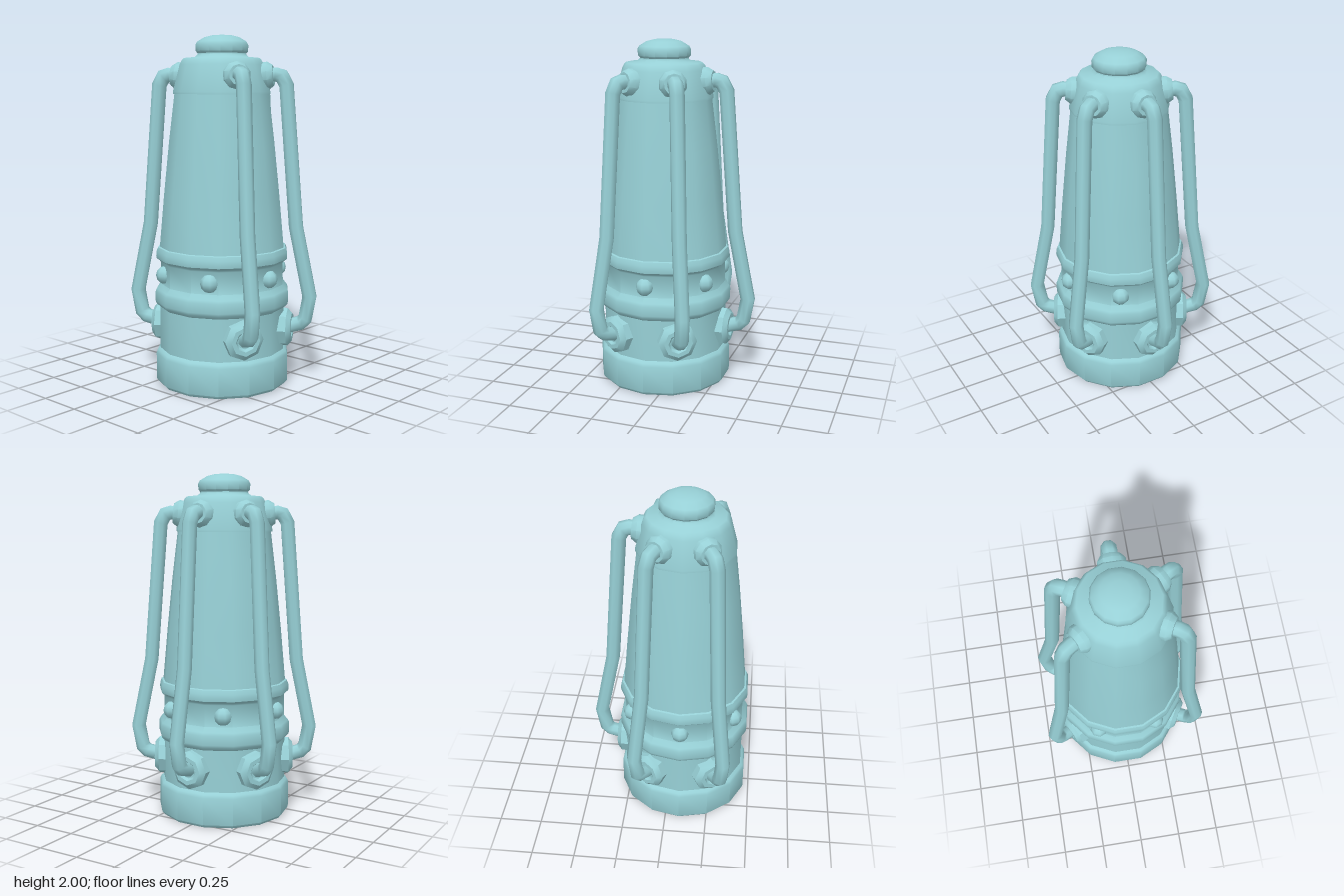
import * as THREE from 'three';
import { toCreasedNormals } from 'three/addons/utils/BufferGeometryUtils.js';

const SIDES = 14;
const AXIS_Z = 0.085; // the missing front pipe shifts the body axis forward

export function createModel() {
  const paint = new THREE.MeshStandardMaterial({ color: 0x97d0d6 });
  paint.name = 'pale teal';
  const model = new THREE.Group();
  model.name = 'lantern';
  const body = new THREE.Group();
  body.name = 'body';
  body.position.z = AXIS_Z;
  model.add(body);

  const add = (parent, name, geometry) => {
    const mesh = new THREE.Mesh(geometry, paint);
    mesh.name = name;
    parent.add(mesh);
    return mesh;
  };
  const lathe = (points, sides, crease = 0.75) => toCreasedNormals(
    new THREE.LatheGeometry(points.map(([r, y]) => new THREE.Vector2(r, y)), sides, Math.PI / 2), crease);

  // Base: recessed underside with a ring and button, then the foot
  add(body, 'base', lathe([
    [0, 0.015], [0.035, 0.02], [0.06, 0.045], [0.075, 0.045], [0.095, 0.02], [0.12, 0.02], [0.14, 0.045],
    [0.15, 0.08], [0.225, 0.08], [0.25, 0.015], [0.265, 0], [0.375, 0], [0.39, 0.018],
    [0.39, 0.175], [0.382, 0.193], [0.366, 0.205], [0.366, 0.455],
  ], SIDES));
  // Lower bulge, rivet band and upper rim
  add(body, 'collar', lathe([
    [0.366, 0.45], [0.388, 0.47], [0.392, 0.485], [0.392, 0.54], [0.385, 0.557], [0.36, 0.585],
    [0.358, 0.71], [0.366, 0.722], [0.384, 0.735], [0.386, 0.75], [0.384, 0.775], [0.375, 0.798], [0.36, 0.803],
  ], SIDES));
  add(body, 'glass', lathe([[0.365, 0.795], [0.337, 1.1], [0.306, 1.4], [0.272, 1.68]], SIDES));
  add(body, 'hood', lathe([
    [0.265, 1.672], [0.281, 1.672], [0.281, 1.685], [0.242, 1.835], [0.23, 1.86], [0.217, 1.872],
    [0.155, 1.878], [0.14, 1.892], [0.138, 1.905],
  ], SIDES));
  add(body, 'topKnob', lathe([
    [0.136, 1.895], [0.15, 1.91], [0.152, 1.945], [0.142, 1.963], [0.1, 1.988], [0.055, 1.999], [0, 2],
  ], SIDES));

  // Rivets, every sixth of a turn around the collar
  for (let i = 0; i < 6; i++) {
    const a = i * Math.PI / 3;
    const rivet = add(body, 'rivet', new THREE.SphereGeometry(0.052, 8, 6));
    rivet.position.set(Math.cos(a) * 0.345, 0.645, Math.sin(a) * 0.345);
  }

  // Pipe path as radius and height, running outward along local +x
  const pipeGeo = sweep([
    [0.26, 1.775], [0.31, 1.78], [0.342, 1.77], [0.369, 1.72], [0.43, 0.92],
    [0.512, 0.515], [0.488, 0.385], [0.46, 0.357], [0.37, 0.33],
  ], 0.042, 8);
  const upperBoss = lathe([[0.078, 0], [0.078, 0.065], [0.058, 0.095], [0.042, 0.095], [0, 0.085]], 10);
  const lowerBoss = lathe([[0.112, 0], [0.112, 0.065], [0.083, 0.09], [0.058, 0.09], [0.045, 0.075], [0, 0.075]], 8);

  // Five pipes at sixths of a turn, none at the front
  for (const deg of [-30, 30, 90, 150, 210]) {
    const arm = new THREE.Group();
    arm.name = 'pipeAssembly';
    arm.rotation.y = deg * Math.PI / 180;
    body.add(arm);
    add(arm, 'pipe', pipeGeo);
    const top = add(arm, 'upperBoss', upperBoss);
    top.position.set(0.2, 1.768, 0);
    top.rotation.z = -Math.PI / 2 + 0.08;
    const low = add(arm, 'lowerBoss', lowerBoss);
    low.position.set(0.322, 0.33, 0);
    low.rotation.z = -Math.PI / 2;
  }
  return model;
}

// Round tube along a flat path in the xy plane, with mitred bends
function sweep(path, radius, sides) {
  const pts = path.map(([x, y]) => new THREE.Vector2(x, y));
  const position = [], index = [];
  pts.forEach((p, i) => {
    const before = p.clone().sub(pts[Math.max(i - 1, 0)]).normalize();
    const after = pts[Math.min(i + 1, pts.length - 1)].clone().sub(p).normalize();
    const t = before.clone().add(after).normalize();
    const along = i === 0 ? after : before;
    const stretch = 1 / Math.max(t.dot(along), 0.7);
    for (let j = 0; j < sides; j++) {
      const a = (j + 0.5) / sides * Math.PI * 2;
      const n = Math.cos(a) * radius * stretch;
      position.push(p.x - t.y * n, p.y + t.x * n, Math.sin(a) * radius);
      if (i === 0) continue;
      const k = (j + 1) % sides, r0 = (i - 1) * sides, r1 = i * sides;
      index.push(r0 + j, r0 + k, r1 + j, r0 + k, r1 + k, r1 + j);
    }
  });
  const geo = new THREE.BufferGeometry();
  geo.setAttribute('position', new THREE.Float32BufferAttribute(position, 3));
  geo.setIndex(index);
  geo.computeVertexNormals();
  return geo;
}
